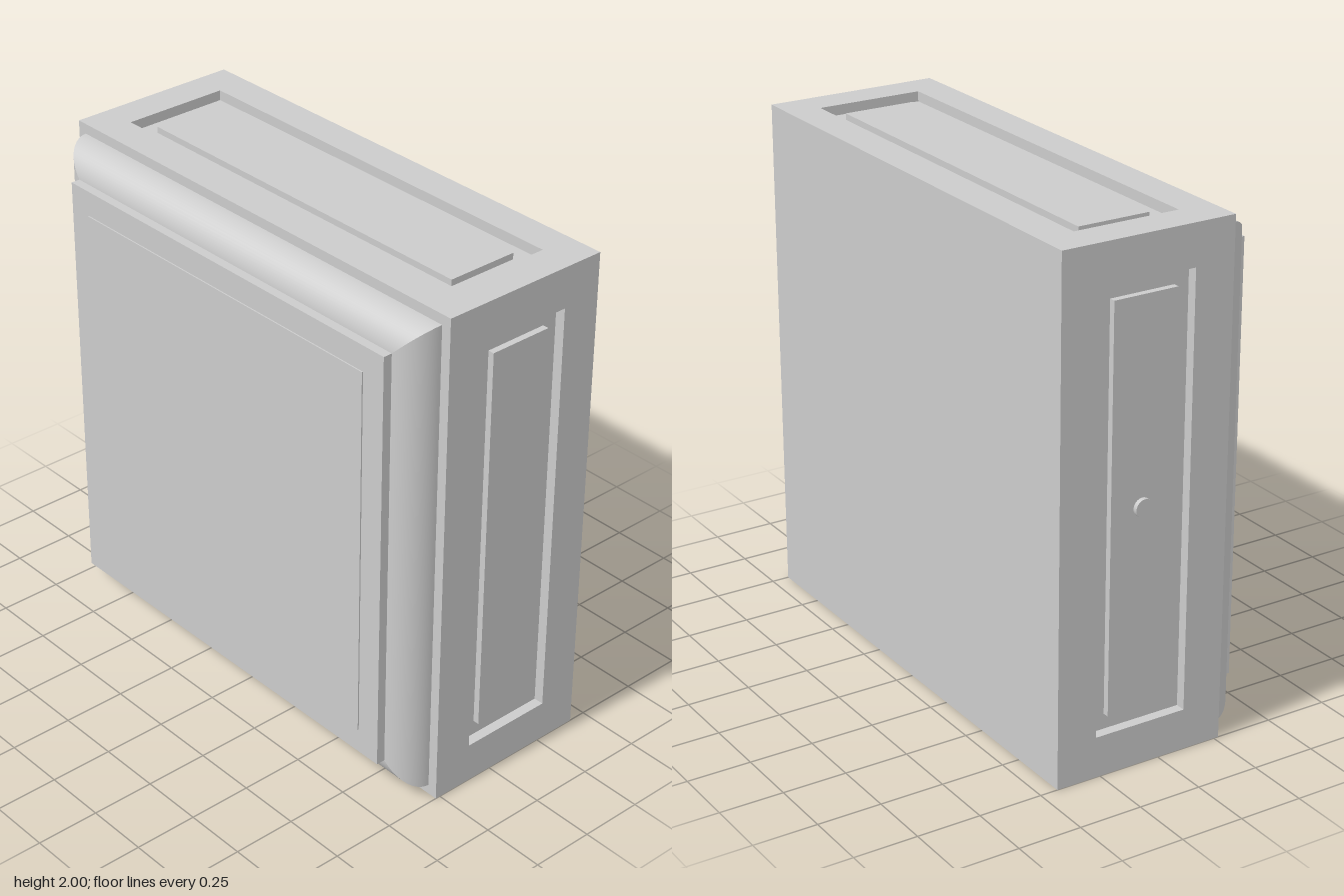
import * as THREE from 'three';

const CZ = -0.08; // middle of the cabinet's depth
const DEPTH = 0.7;
const grey = new THREE.MeshStandardMaterial({ color: 0xcccccc });
const flatGrey = new THREE.MeshStandardMaterial({ color: 0xcccccc, flatShading: true, side: THREE.DoubleSide });

function add(parent, name, geometry, x = 0, y = 0, z = 0, material = grey) {
  const mesh = new THREE.Mesh(geometry, material);
  mesh.name = name;
  mesh.position.set(x, y, z);
  parent.add(mesh);
  return mesh;
}

const rectangle = (Type, hw, hh) => new Type(
  [[-hw, -hh], [hw, -hh], [hw, hh], [-hw, hh]].map(([x, y]) => new THREE.Vector2(x, y)));

// One cabinet wall in the xy plane, facing +z: rim, sunken tray and raised inner panel
function panelledWall(outer, inner) {
  const wall = new THREE.Group();
  const sunk = 0.04, raised = 0.025;
  const rim = rectangle(THREE.Shape, 1, DEPTH / 2);
  rim.holes.push(rectangle(THREE.Path, ...outer));
  add(wall, 'wallRim', new THREE.ShapeGeometry(rim));

  const tube = new THREE.CylinderGeometry(Math.SQRT1_2, Math.SQRT1_2, sunk, 4, 1, true);
  tube.rotateY(Math.PI / 4).rotateX(Math.PI / 2).scale(outer[0] * 2, outer[1] * 2, 1);
  add(wall, 'recessWalls', tube, 0, 0, -sunk / 2, flatGrey);
  add(wall, 'recessFloor', new THREE.PlaneGeometry(outer[0] * 2, outer[1] * 2), 0, 0, -sunk);
  add(wall, 'innerPanel', new THREE.BoxGeometry(inner[0] * 2, inner[1] * 2, raised), 0, 0, -sunk + raised / 2);
  return wall;
}

// Quarter-round strip along the top edge, mitred at both ends
function mouldingStrip() {
  const steps = 16, r = 0.12, positions = [], index = [];
  for (let i = 0; i <= steps; i++) {
    const a = (i / steps) * Math.PI / 2;
    const half = 0.84 + r * Math.cos(a), z = 0.27 + r * Math.sin(a);
    positions.push(-half, half, z, half, half, z);
    if (i < steps) {
      const k = i * 2;
      index.push(k, k + 2, k + 1, k + 1, k + 2, k + 3);
    }
  }
  const g = new THREE.BufferGeometry();
  g.setAttribute('position', new THREE.Float32BufferAttribute(positions, 3));
  g.setIndex(index);
  g.computeVertexNormals();
  return g;
}

export function createModel() {
  const model = new THREE.Group();
  model.name = 'cabinet';

  // Plain front and back faces
  add(model, 'frontFace', new THREE.PlaneGeometry(2, 2), 0, 1, CZ + DEPTH / 2);
  add(model, 'backFace', new THREE.PlaneGeometry(2, 2), 0, 1, CZ - DEPTH / 2).rotation.y = Math.PI;

  // Four panelled walls and four moulding strips, turned around the middle
  ['top', 'right', 'bottom', 'left'].forEach((side, i) => {
    // the model's own left is +x
    const name = { top: 'top', right: 'right', bottom: 'bottom', left: 'left' }[side];
    const turn = new THREE.Group();
    turn.name = name + 'Side';
    turn.position.y = 1;
    turn.rotation.z = i * Math.PI / 2;
    const wall = i % 2 ? panelledWall([0.84, 0.19], [0.78, 0.13]) : panelledWall([0.86, 0.215], [0.79, 0.145]);
    wall.name = name + 'Wall';
    wall.position.set(0, 1, CZ);
    wall.rotation.x = -Math.PI / 2;
    turn.add(wall);
    add(turn, name + 'Moulding', mouldingStrip());
    model.add(turn);
  });

  // Front plate with a thin raised sheet
  add(model, 'frontPlate', new THREE.BoxGeometry(1.7, 1.7, 0.045), 0, 1, 0.4025);
  add(model, 'frontSheet', new THREE.BoxGeometry(1.5, 1.5, 0.01), 0, 1, 0.425);

  // Small round button on the right wall
  const button = new THREE.CylinderGeometry(0.036, 0.036, 0.025, 32).rotateZ(Math.PI / 2);
  add(model, 'sideButton', button, -0.99, 1, CZ);
  return model;
}
